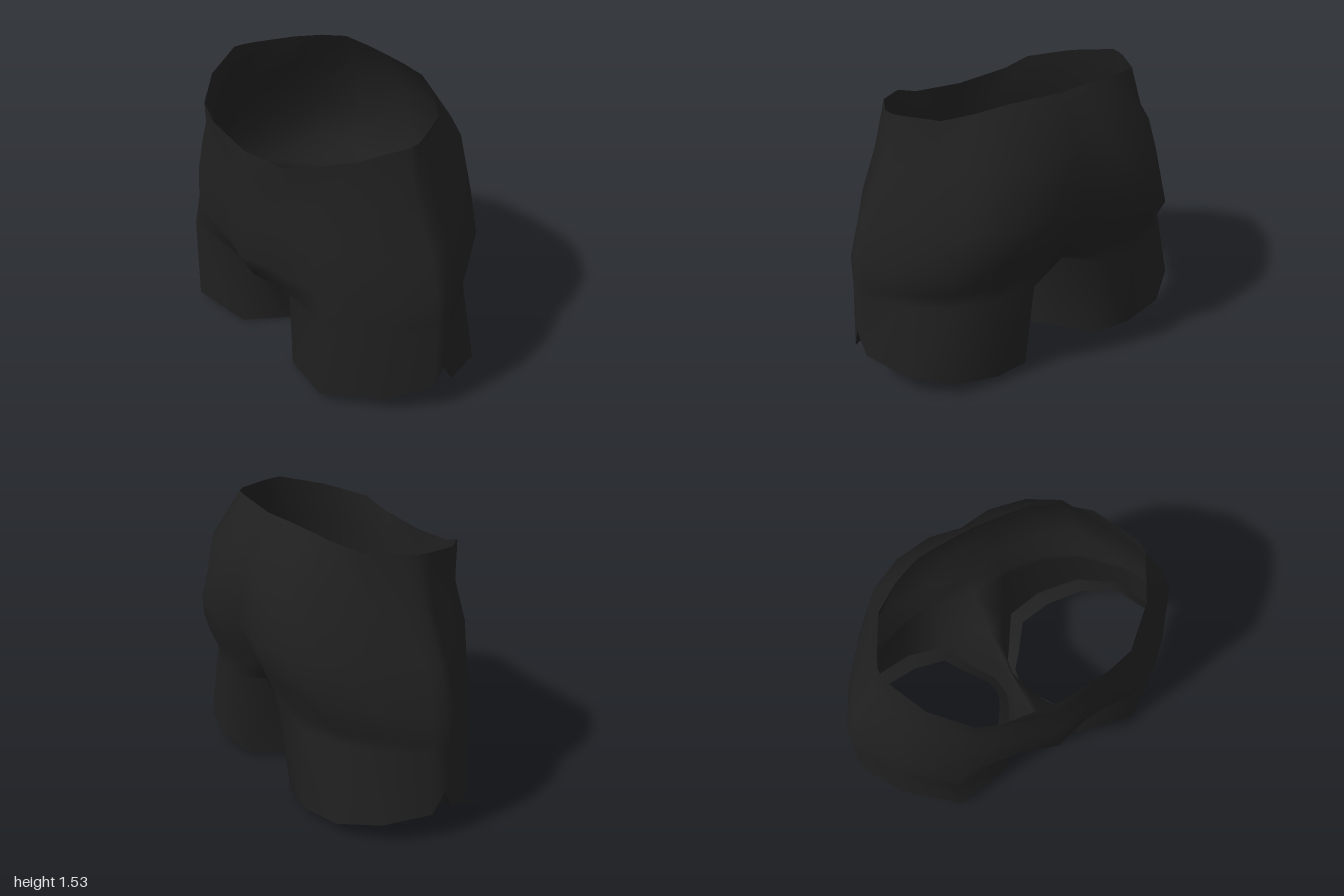
import * as THREE from 'three';

const fabric = new THREE.MeshStandardMaterial({ color: 0x202020, side: THREE.DoubleSide });
fabric.name = 'black fabric';

// Half outline seen from above, front centre round the side to back centre: [x, z]
const PLAN = [[0, 1], [0.24, 0.92], [0.57, 0.85], [0.85, 0.52], [1, 0.15], [1, 0.07],
  [0.99, -0.05], [0.89, -0.45], [0.7, -0.79], [0.48, -0.95], [0.22, -1.01], [0, -0.96]];

// Half ring from the plan: half width, front and back depth, front and back height;
// shaped moves single points of the outline to their own [x, z]
function level(w, front, back, yFront, yBack, shaped) {
  return PLAN.map(([u, v], j) => {
    const [x, z] = shaped[j] ?? [u * w, v * (v > 0 ? front : back)];
    return [x, yBack + (yFront - yBack) * (v + 1) / 2, z];
  });
}

// Waist edge, dipping at the front and rising at the back
const WAIST = [[0, 1.27, 0.54], [0.3, 1.3, 0.52], [0.43, 1.35, 0.49], [0.61, 1.4, 0.32],
  [0.73, 1.45, 0.09], [0.725, 1.45, 0.03], [0.7, 1.455, -0.03], [0.6, 1.47, -0.22],
  [0.46, 1.505, -0.31], [0.31, 1.535, -0.365], [0.15, 1.535, -0.38], [0, 1.53, -0.39]];

// Line where the legs part, pinched in under the seat
const LEG_TOP = [[0, 0.5, 0.51], [0.22, 0.53, 0.49], [0.57, 0.54, 0.51], [0.84, 0.55, 0.29],
  [0.98, 0.55, 0.08], [0.99, 0.55, 0.04], [0.975, 0.55, -0.02], [0.86, 0.56, -0.19],
  [0.67, 0.57, -0.37], [0.46, 0.58, -0.46], [0.22, 0.6, -0.48], [0, 0.6, -0.42]];

// Leg hem, a closed loop with a small notch at the side
const HEM = [[0.12, 0.005, 0.24], [0.24, 0.01, 0.44], [0.57, 0.05, 0.51], [0.85, 0.09, 0.3],
  [0.99, 0.15, 0.09], [1, 0.27, 0.04], [0.99, 0.15, -0.03], [0.9, 0.12, -0.27],
  [0.7, 0.07, -0.42], [0.45, 0.04, -0.46], [0.24, 0.02, -0.42], [0.12, 0.01, -0.22],
  [0.04, 0, -0.1], [0.02, 0, 0.02], [0.05, 0, 0.11]];

// Skins consecutive rings on both sides, welding shared points on the centre line
function skin(strips) {
  const positions = [], index = [], known = new Map();
  const vertex = ([x, y, z], side) => {
    const p = [x * side, y, z];
    const key = p.map(n => Math.round(n * 1e4)).join();
    if (!known.has(key)) {
      known.set(key, positions.length / 3);
      positions.push(...p);
    }
    return known.get(key);
  };
  for (const side of [1, -1]) {
    for (const { rings, closed } of strips) {
      for (let i = 0; i + 1 < rings.length; i++) {
        const n = rings[i].length;
        for (let j = 0; j < (closed ? n : n - 1); j++) {
          const k = (j + 1) % n;
          const a = vertex(rings[i][j], side), b = vertex(rings[i][k], side);
          const c = vertex(rings[i + 1][j], side), d = vertex(rings[i + 1][k], side);
          if (side > 0) index.push(a, c, b, b, c, d);
          else index.push(a, b, c, b, d, c);
        }
      }
    }
  }
  const geometry = new THREE.BufferGeometry();
  geometry.setAttribute('position', new THREE.Float32BufferAttribute(positions, 3));
  geometry.setIndex(index);
  geometry.computeVertexNormals();
  return geometry;
}

export function createModel() {
  const group = new THREE.Group();
  group.name = 'shorts';
  const add = (name, strips) => {
    const mesh = new THREE.Mesh(skin(strips), fabric);
    mesh.name = name;
    group.add(mesh);
  };

  // Hips: waist, upper hip, seat, and the front bulge with a fold beside it
  const upperHip = level(0.78, 0.56, 0.55, 1.12, 1.28, { 3: [0.69, 0.3], 7: [0.67, -0.23] });
  const seat = level(0.915, 0.58, 0.6, 0.92, 0.96, { 7: [0.79, -0.24], 8: [0.62, -0.46] });
  const bulge = level(0.98, 0.6, 0.53, 0.66, 0.74, {
    1: [0.2, 0.54], 2: [0.53, 0.505], 3: [0.81, 0.3],
    7: [0.86, -0.23], 8: [0.69, -0.45], 9: [0.48, -0.52], 11: [0, -0.47],
  });
  const hips = [WAIST, upperHip, seat, bulge, LEG_TOP];

  // Legs: closed by the crotch seam; the inner thigh draws in at once, the outer side runs straight
  const legLoop = [...LEG_TOP, [0, 0.46, -0.22], [0, 0.4, 0], [0, 0.41, 0.25]];
  const thigh = legLoop.map((p, j) => {
    const drawIn = j < 2 || j > 10 ? 0.8 : 0.13;
    return p.map((v, k) => v + (HEM[j][k] - v) * (k === 1 ? 0.13 : drawIn));
  });
  add('shortsBody', [{ rings: hips, closed: false }, { rings: [legLoop, thigh, HEM], closed: true }]);

  // Hem folded to the inside of each leg
  const fold = HEM.map(([x, y, z]) => [0.5 + (x - 0.5) * 0.89, y + 0.05, z * 0.76]);
  add('hemFolds', [{ rings: [HEM, fold], closed: true }]);

  return group;
}
